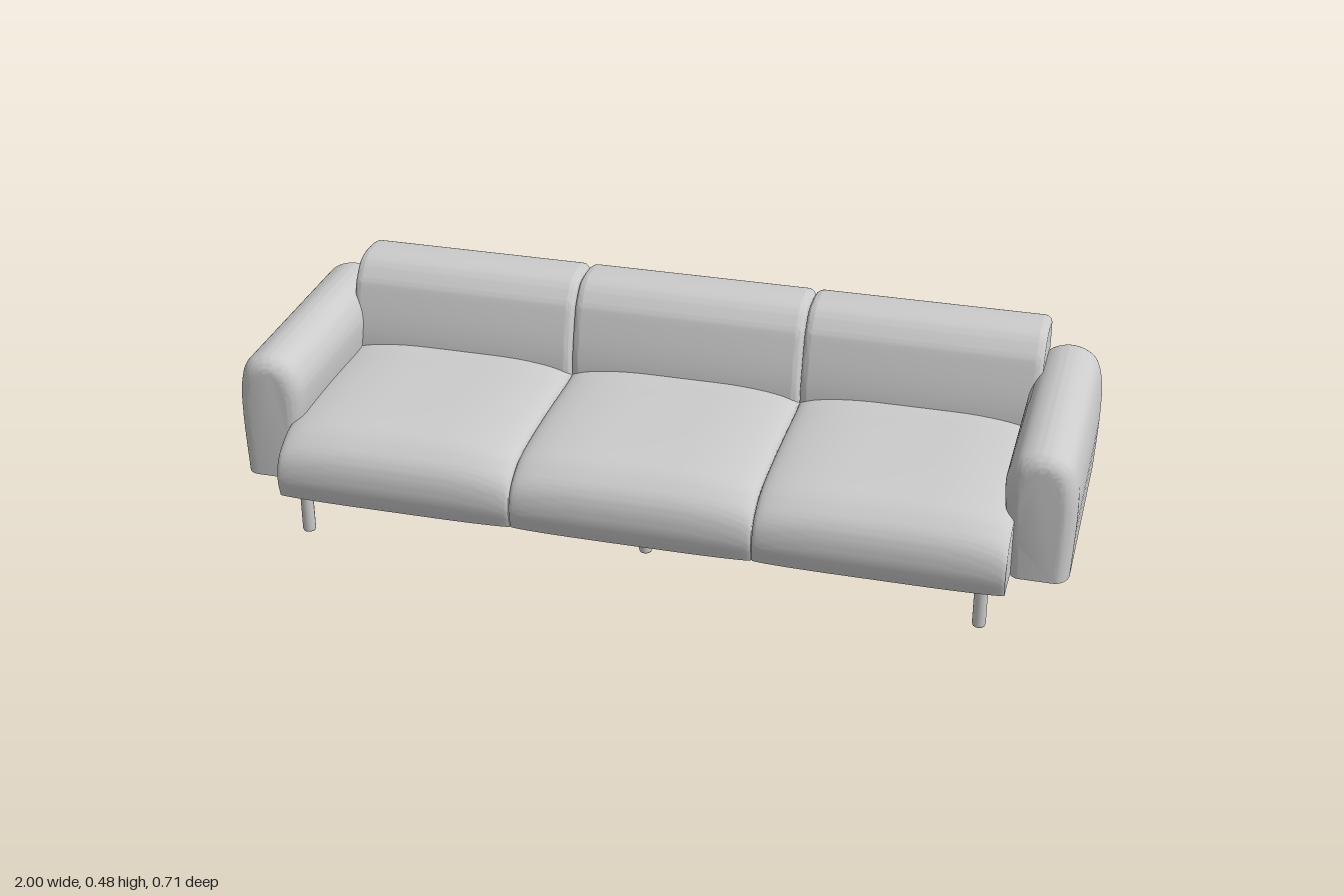
import * as THREE from 'three';
import { toCreasedNormals } from 'three/addons/utils/BufferGeometryUtils.js';

const material = new THREE.MeshStandardMaterial({ color: 0xcccccc });

// Upholstered block: an outline (spline plus flat underside) swept along z,
// its ends easing inwards by the ratios insetX and insetY over distance r.
function upholstery(points, length, r, anchorX, insetX, insetY) {
  const ring = new THREE.SplineCurve(points.map(([x, y]) => new THREE.Vector2(x, y))).getPoints(60);
  const stations = [];
  const steps = 10;
  for (let i = 0; i <= steps; i++) {
    const t = (1 - i / steps) * Math.PI / 2;
    stations.push([-length / 2 + r * (1 - Math.sin(t)), 1 - Math.cos(t)]);
  }
  for (let i = steps; i >= 0; i--) stations.push([-stations[i][0], stations[i][1]]);

  const baseY = points[0][1];
  const n = ring.length;
  const positions = [];
  const index = [];
  for (const [z, f] of stations) {
    for (const p of ring) {
      positions.push(
        anchorX + (p.x - anchorX) * (1 - insetX * f),
        baseY + (p.y - baseY) * (1 - insetY * f),
        z
      );
    }
  }
  for (let i = 0; i < stations.length - 1; i++) {
    for (let j = 0; j < n; j++) {
      const a = i * n + j, b = i * n + (j + 1) % n;
      index.push(a, b, b + n, a, b + n, a + n);
    }
  }
  // End caps
  const last = (stations.length - 1) * n;
  for (const [a, b, c] of THREE.ShapeUtils.triangulateShape(ring, [])) {
    index.push(last + a, last + b, last + c, c, b, a);
  }
  const geometry = new THREE.BufferGeometry();
  geometry.setAttribute('position', new THREE.Float32BufferAttribute(positions, 3));
  geometry.setIndex(index);
  return toCreasedNormals(geometry, Math.PI / 4);
}

export function createModel() {
  const sofa = new THREE.Group();
  sofa.name = 'sofa';
  const add = (name, geometry, x, y, z) => {
    const mesh = new THREE.Mesh(geometry, material);
    mesh.name = name;
    mesh.position.set(x, y, z);
    sofa.add(mesh);
    return mesh;
  };

  // Three seat and back cushions; outlines are given as [z, y]
  const cushionWidth = 0.575;
  const seat = upholstery([
    [0.345, 0.105], [0.354, 0.16], [0.343, 0.215], [0.31, 0.252], [0.25, 0.278],
    [0.1, 0.287], [-0.1, 0.283], [-0.22, 0.27], [-0.22, 0.105]
  ], cushionWidth, 0.2, -0.1, 0.02, 0.19).rotateY(-Math.PI / 2);
  const back = upholstery([
    [-0.155, 0.105], [-0.155, 0.28], [-0.188, 0.41], [-0.207, 0.445], [-0.237, 0.473],
    [-0.28, 0.483], [-0.335, 0.48], [-0.352, 0.465], [-0.356, 0.41], [-0.352, 0.4],
    [-0.356, 0.39], [-0.356, 0.25], [-0.354, 0.105]
  ], cushionWidth, 0.02, -0.28, 0.12, 0.04).rotateY(-Math.PI / 2);
  ['right', 'middle', 'left'].forEach((side, i) => {
    const x = (i - 1) * (cushionWidth + 0.002);
    add(side + 'SeatCushion', seat, x, 0, 0);
    add(side + 'BackCushion', back, x, 0, 0);
  });

  // Arms, rounded over the top and leaning slightly inwards; outline is [x, y]
  const arm = upholstery([
    [0.075, 0.1], [0.08, 0.25], [0.075, 0.34], [0.053, 0.395], [0, 0.416],
    [-0.053, 0.4], [-0.08, 0.355], [-0.084, 0.3], [-0.073, 0.2], [-0.065, 0.1]
  ], 0.605, 0.045, 0, 0.45, 0.13);
  add('leftArm', arm, 0.92, 0, -0.0525);
  add('rightArm', arm, -0.92, 0, -0.0525).rotation.y = Math.PI;

  // Base panel under the cushions
  add('basePanel', new THREE.BoxGeometry(1.7, 0.06, 0.64), 0, 0.133, -0.01);

  // Front and back rails
  const rail = new THREE.BoxGeometry(1.62, 0.016, 0.016);
  add('frontRail', rail, 0, 0.098, 0.3);
  add('backRail', rail, 0, 0.098, -0.318);

  // Corner legs and two set-in middle legs
  const leg = new THREE.LatheGeometry([
    [0, 0], [0.01, 0], [0.014, 0.002], [0.0155, 0.007], [0.0155, 0.108]
  ].map(([x, y]) => new THREE.Vector2(x, y)), 20);
  for (const x of [-0.81, 0.81]) {
    add('frontLeg', leg, x, 0, 0.308);
    add('backLeg', leg, x, 0, -0.318);
  }
  add('middleFrontLeg', leg, 0, 0, 0.195);
  add('middleBackLeg', leg, 0, 0, -0.132);

  return sofa;
}
